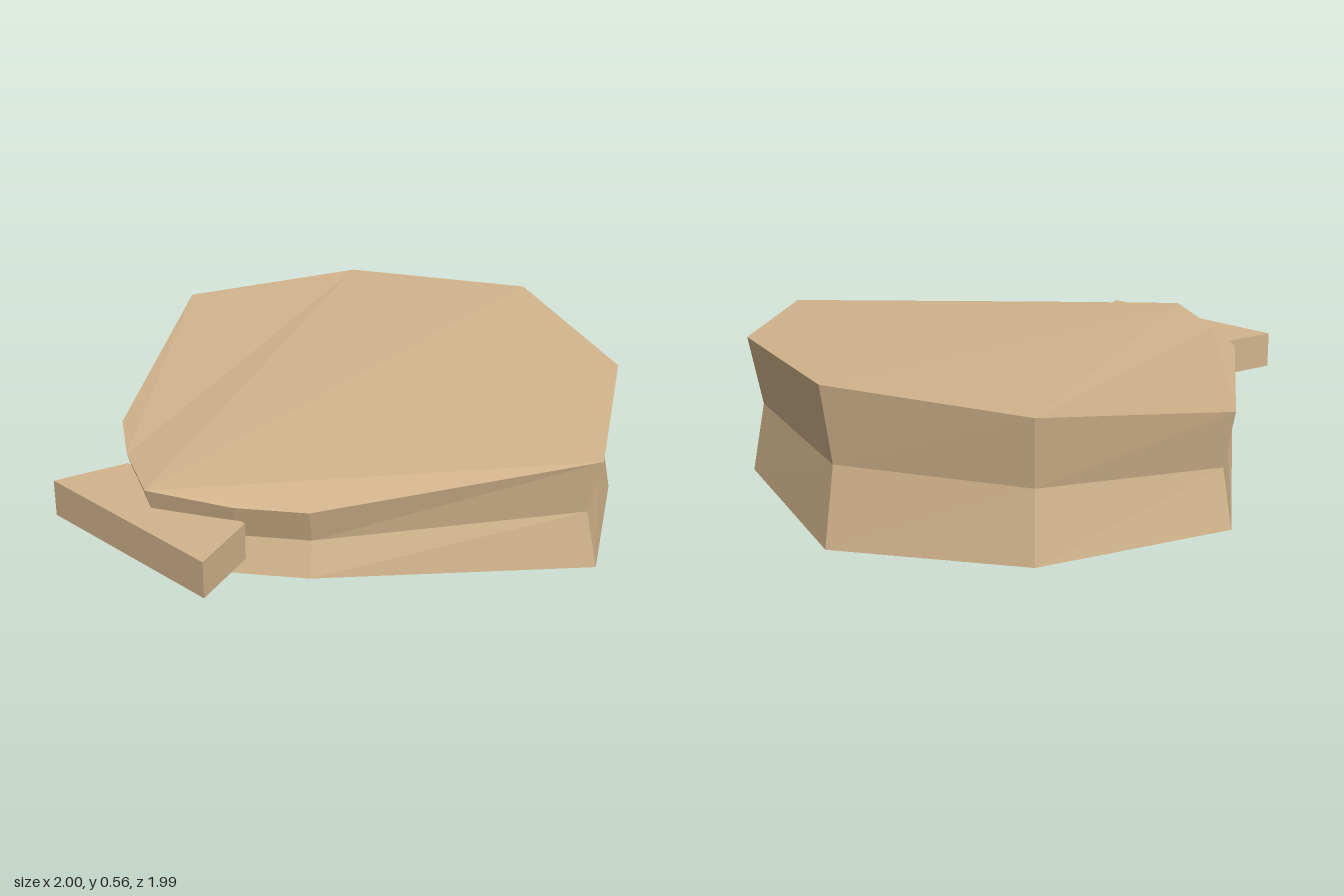
import * as THREE from 'three';

const MID = 0.28; // height of the pinched waist

// Rim of the shell, anticlockwise from the front tip: x, height above waist, z
const rim = [
  [0, 0.137, 0.91], [0.26, 0.12, 0.77], [0.46, 0.12, 0.625], [1, 0.198, -0.175],
  [0.65, 0.244, -0.725], [0, 0.278, -0.995], [-0.65, 0.244, -0.725],
  [-1, 0.198, -0.175], [-0.46, 0.12, 0.625], [-0.26, 0.12, 0.77],
];
// Waist ring: the same outline drawn slightly inward
const waist = rim.map(([x, , z]) => [x * 0.955, 0, z * 0.953]);

// Facets of the cap, as rim indices
const capFaces = [
  [0, 1, 2], [0, 2, 3], [0, 3, 4], [0, 4, 5], [0, 5, 6],
  [0, 6, 9], [6, 7, 9], [7, 8, 9],
];

function facets(triangles) {
  const geometry = new THREE.BufferGeometry();
  geometry.setAttribute('position', new THREE.Float32BufferAttribute(triangles.flat(2), 3));
  geometry.computeVertexNormals();
  return geometry;
}

export function createModel() {
  const group = new THREE.Group();
  const tan = new THREE.MeshStandardMaterial({ color: 0xd2b48c });
  tan.name = 'tan';

  const add = (parent, name, geometry) => {
    const mesh = new THREE.Mesh(geometry, tan);
    mesh.name = name;
    parent.add(mesh);
    return mesh;
  };

  // Cap and flaring wall of one half of the shell
  const cap = facets(capFaces.map((face) => face.map((i) => rim[i])));
  const wall = facets(rim.flatMap((p, i) => {
    const j = (i + 1) % rim.length;
    return [[waist[i], waist[j], rim[j]], [waist[i], rim[j], p]];
  }));

  // The lower half is the upper one turned over about the long axis
  ['upper', 'lower'].forEach((side, k) => {
    const half = new THREE.Group();
    half.name = side + 'Shell';
    half.position.y = MID;
    half.rotation.z = k * Math.PI;
    add(half, side + 'Cap', cap);
    add(half, side + 'Wall', wall);
    group.add(half);
  });

  // Flared tab at the front
  const outline = new THREE.Shape([
    new THREE.Vector2(-0.29, 0.745), new THREE.Vector2(0.29, 0.745),
    new THREE.Vector2(0.37, 0.995), new THREE.Vector2(-0.37, 0.995),
  ]);
  const tab = new THREE.ExtrudeGeometry(outline, { depth: 0.13, bevelEnabled: false });
  tab.rotateX(Math.PI / 2);
  add(group, 'frontTab', tab).position.y = MID + 0.065;

  return group;
}
